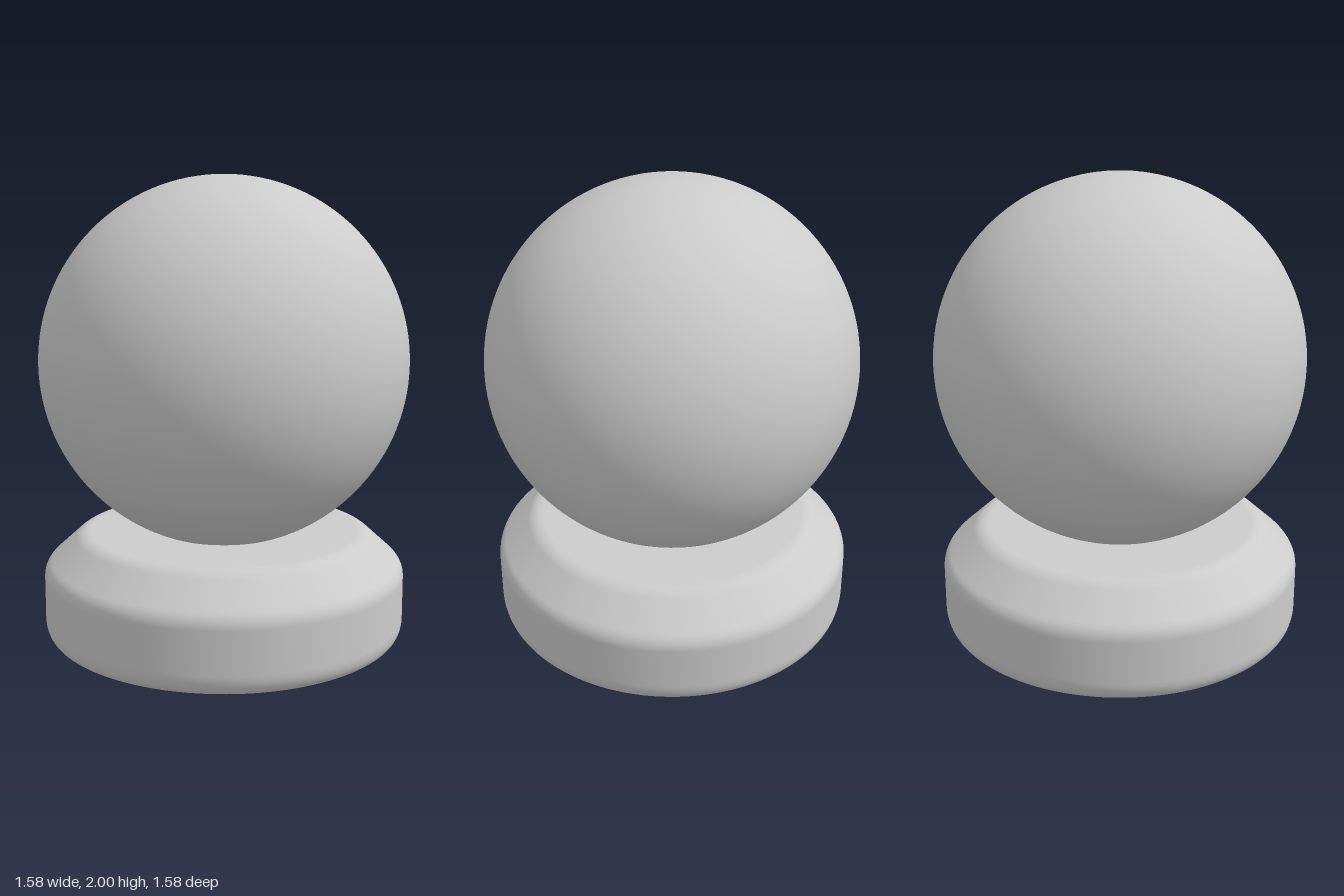
import * as THREE from 'three';

// Profile through [radius, height, trim] corners, each rounded over its trim length
function roundedProfile(corners, steps = 10) {
  const pts = corners.map(([x, y]) => new THREE.Vector2(x, y));
  const out = [pts[0]];
  for (let i = 1; i < pts.length - 1; i++) {
    const p = pts[i], trim = corners[i][2];
    const toward = (q) => p.clone().add(q.clone().sub(p).setLength(trim));
    const a = toward(pts[i - 1]), b = toward(pts[i + 1]);
    out.push(...new THREE.QuadraticBezierCurve(a, p, b).getPoints(steps));
  }
  out.push(pts[pts.length - 1]);
  return out;
}

export function createModel() {
  const model = new THREE.Group();
  model.name = 'ballOnStand';
  const material = new THREE.MeshStandardMaterial({ color: 0xcccccc });

  const add = (name, geometry, y) => {
    const mesh = new THREE.Mesh(geometry, material);
    mesh.name = name;
    mesh.position.y = y;
    model.add(mesh);
  };

  // Round stand: filleted foot, straight wall, bevelled shoulder, flat top
  const profile = roundedProfile([
    [0, 0],
    [0.785, 0, 0.1],
    [0.785, 0.323, 0.04],
    [0.62, 0.473, 0.04],
    [0, 0.473],
  ]);
  add('stand', new THREE.LatheGeometry(profile, 128), 0);

  // Ball, sunk slightly into the stand
  add('ball', new THREE.SphereGeometry(0.79, 128, 64), 1.21);

  return model;
}
